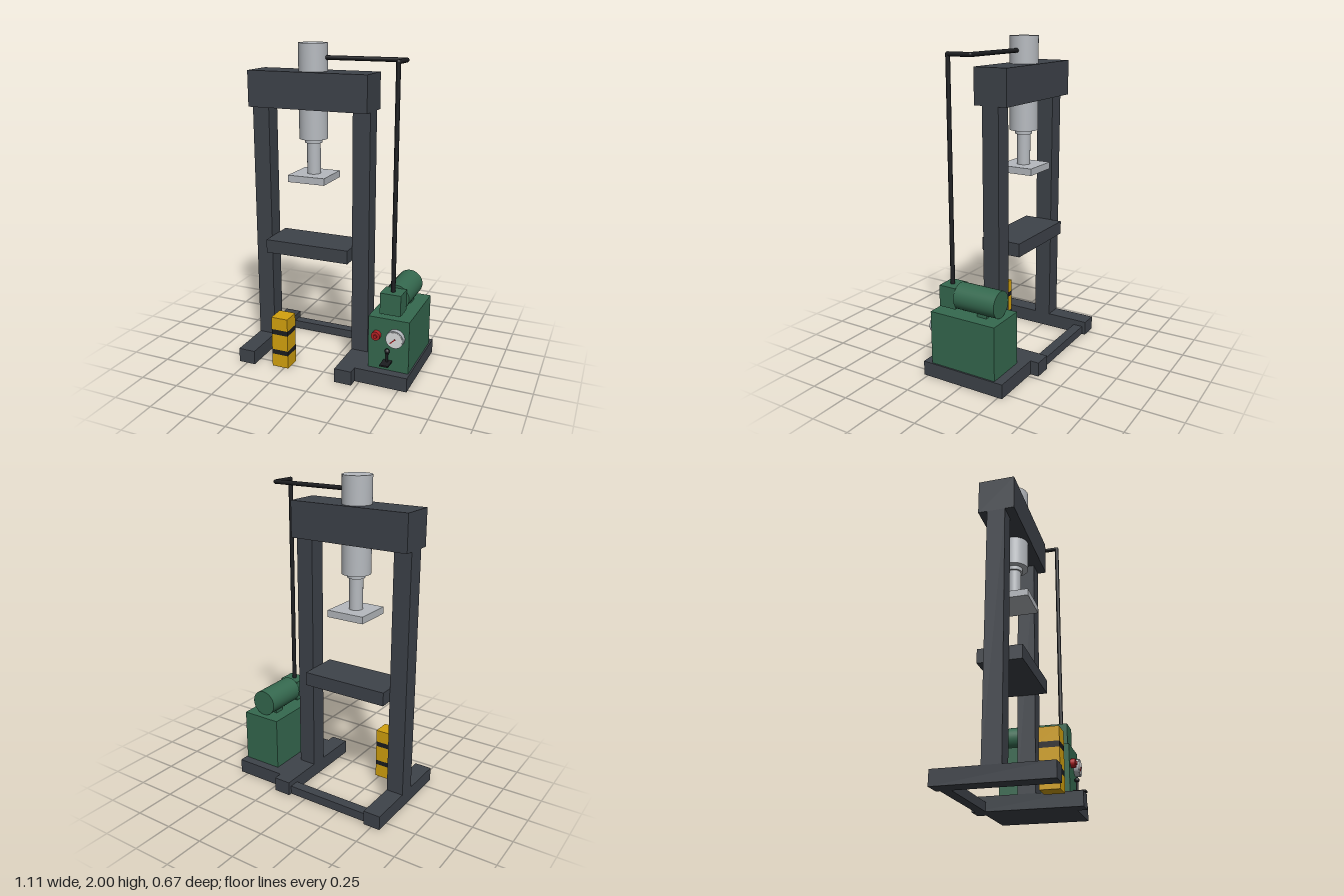
import * as THREE from 'three';

const mat = (name, color) => {
  const m = new THREE.MeshStandardMaterial({ color });
  m.name = name;
  return m;
};

export function createModel() {
  const steel = mat('dark frame steel', 0x3e434a);
  const metal = mat('bare metal', 0xb6babf);
  const green = mat('machine green', 0x35694f);
  const black = mat('black rubber', 0x1c1d20);
  const yellow = mat('safety yellow', 0xd4a20f);
  const red = mat('signal red', 0xb32024);
  const white = mat('dial white', 0xdcdddd);

  const model = new THREE.Group();
  model.name = 'hydraulicPress';
  const add = (name, geometry, material) => {
    const mesh = new THREE.Mesh(geometry, material);
    mesh.name = name;
    model.add(mesh);
    return mesh;
  };
  // box from its minimum and maximum corners
  const box = (name, material, x0, x1, y0, y1, z0, z1) =>
    add(name, new THREE.BoxGeometry(x1 - x0, y1 - y0, z1 - z0), material)
      .position.set((x0 + x1) / 2, (y0 + y1) / 2, (z0 + z1) / 2);
  // cylinder running between two points
  const rod = (name, material, r, a, b, sides = 32) => {
    const from = new THREE.Vector3(...a), to = new THREE.Vector3(...b);
    const dir = to.clone().sub(from);
    const mesh = add(name, new THREE.CylinderGeometry(r, r, dir.length(), sides), material);
    mesh.position.copy(from).add(to).multiplyScalar(0.5);
    mesh.quaternion.setFromUnitVectors(new THREE.Vector3(0, 1, 0), dir.normalize());
    return mesh;
  };

  // frame: two feet with columns, joined by head, bed and rear tie
  for (const [side, x] of [['right', -0.555], ['left', 0.11]]) {
    box(side + 'Foot', steel, x, x + 0.11, 0, 0.09, -0.333, 0.333);
    box(side + 'Column', steel, x, x + 0.11, 0.09, 1.615, -0.055, 0.055);
  }
  box('headBeam', steel, -0.555, 0.22, 1.615, 1.835, -0.11, 0.11);
  box('pressBed', steel, -0.445, 0.11, 0.695, 0.78, -0.132, 0.132);
  box('rearTie', steel, -0.445, 0.11, 0, 0.055, -0.31, -0.247);

  // hydraulic ram
  const cx = -0.168;
  rod('ramCylinder', metal, 0.088, [cx, 1.43, 0], [cx, 2, 0], 48);
  rod('ramCollar', metal, 0.053, [cx, 1.405, 0], [cx, 1.43, 0]);
  rod('ramRod', metal, 0.042, [cx, 1.21, 0], [cx, 1.405, 0]);
  box('ramPlaten', metal, cx - 0.121, cx + 0.121, 1.17, 1.213, -0.121, 0.121);

  // power unit
  const px = 0.414;
  box('unitBase', steel, 0.22, 0.553, 0, 0.09, -0.278, 0.276);
  box('oilTank', green, 0.286, 0.543, 0.09, 0.425, -0.221, 0.221);
  rod('motor', green, 0.082, [px, 0.51, -0.188], [px, 0.51, 0.09], 40);
  box('motorFoot', green, px - 0.05, px + 0.05, 0.425, 0.45, -0.12, -0.055);
  box('valveBlock', green, px - 0.065, px + 0.065, 0.442, 0.574, 0.088, 0.2);

  // hose from ram to valve block, with rounded elbows
  const path = [[-0.09, 1.915, 0], [px, 1.915, 0], [px, 1.915, 0.148], [px, 0.57, 0.148]];
  for (let i = 0; i < 3; i++) {
    rod('hose' + (i + 1), black, 0.0135, path[i], path[i + 1], 16);
    if (i) add('hoseElbow' + i, new THREE.SphereGeometry(0.0135, 16, 10), black).position.set(...path[i]);
  }

  // pressure gauge with dial and needle
  const gx = 0.462, gy = 0.313;
  rod('gaugeBody', metal, 0.055, [gx, gy, 0.22], [gx, gy, 0.253], 40);
  rod('gaugeDial', white, 0.049, [gx, gy, 0.252], [gx, gy, 0.256], 40);
  const needle = add('gaugeNeedle', new THREE.BoxGeometry(0.045, 0.006, 0.004), red);
  needle.position.set(gx - 0.01, gy - 0.01, 0.258);
  needle.rotation.z = Math.PI / 4;

  // stop button
  rod('stopButton', red, 0.028, [0.341, gy, 0.22], [0.341, gy, 0.25], 24);
  rod('stopButtonTip', red, 0.011, [0.341, gy, 0.25], [0.341, gy, 0.26], 16);

  // control lever on a small shelf
  box('leverShelf', black, px - 0.027, px + 0.027, 0.148, 0.158, 0.22, 0.298);
  rod('leverStick', black, 0.008, [px, 0.155, 0.24], [px, 0.225, 0.24], 12);
  add('leverKnob', new THREE.SphereGeometry(0.016, 16, 12), black).position.set(px, 0.225, 0.24);

  // striped guard post
  const bands = [0, 0.085, 0.117, 0.221, 0.254, 0.335];
  for (let i = 0; i < 5; i++)
    box('guardPostBand' + (i + 1), i % 2 ? black : yellow, -0.333, -0.223, bands[i], bands[i + 1], 0.187, 0.299);

  return model;
}
